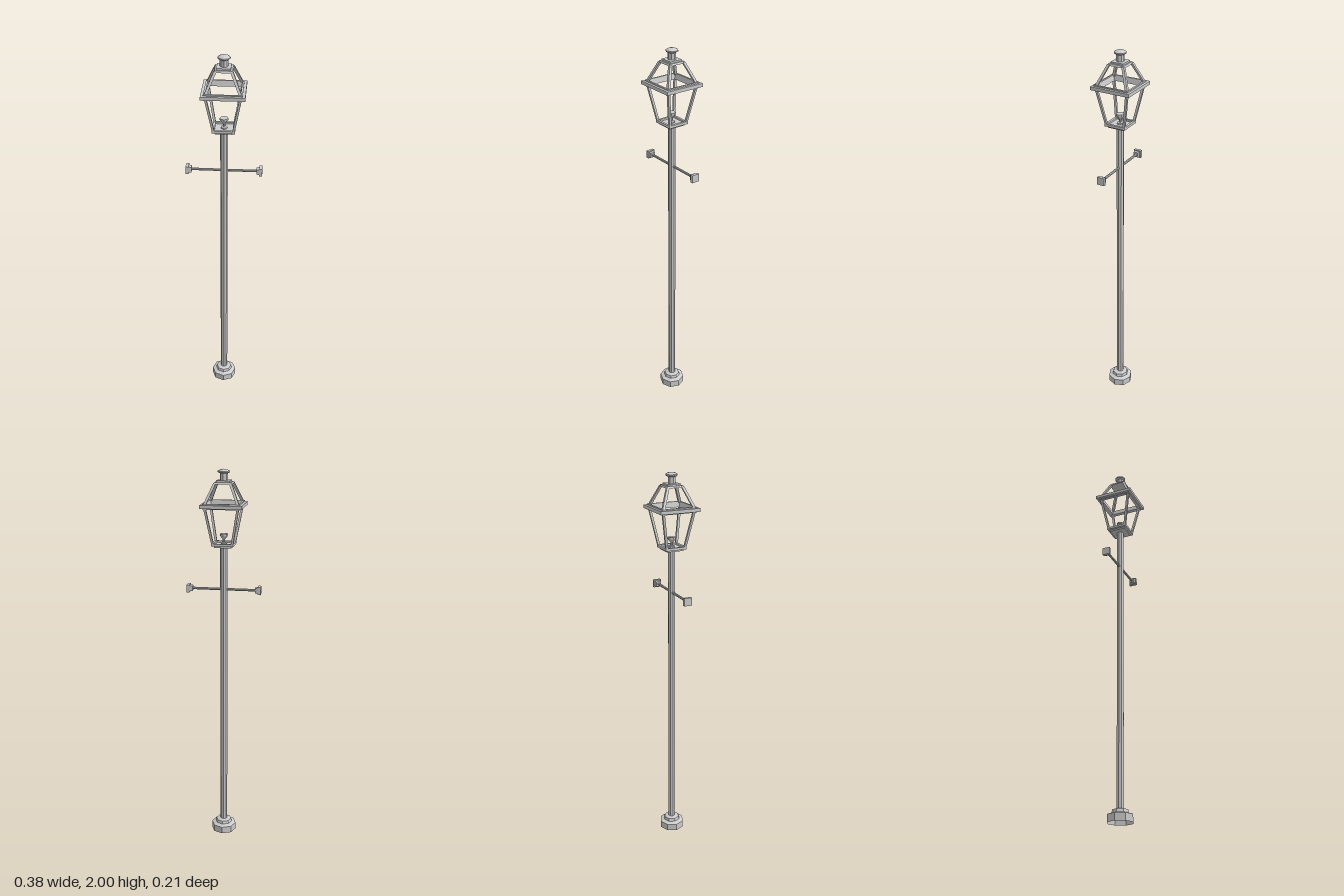
import * as THREE from 'three';

const material = new THREE.MeshStandardMaterial({ color: 0xcccccc, flatShading: true, side: THREE.DoubleSide });

export function createModel() {
  const model = new THREE.Group();

  const add = (name, geometry, parent = model) => {
    const mesh = new THREE.Mesh(geometry, material);
    mesh.name = name;
    parent.add(mesh);
    return mesh;
  };
  // Eight-sided turned part from [radius, height] pairs, bottom to top
  const turned = (points) =>
    new THREE.LatheGeometry(points.map(([r, y]) => new THREE.Vector2(r, y)), 8);
  // Square part from [half width, height] pairs
  const square = (points) =>
    new THREE.LatheGeometry(points.map(([w, y]) => new THREE.Vector2(w * Math.SQRT2, y)), 4, Math.PI / 4);
  // Axis-aligned square bar leaning from (a, y0) to (b, y1) on the corner diagonal
  const leaningBar = (a, y0, b, y1, sx, sz, width) => {
    const g = new THREE.BoxGeometry(width, y1 - y0, width);
    const p = g.attributes.position;
    for (let i = 0; i < p.count; i++) {
      const d = p.getY(i) > 0 ? b : a;
      p.setXYZ(i, p.getX(i) + sx * d, p.getY(i) + (y0 + y1) / 2, p.getZ(i) + sz * d);
    }
    return g;
  };

  // Stepped foot, open underneath, and the long post
  add('base', turned([[0.067, 0], [0.067, 0.038], [0.045, 0.046], [0.041, 0.062], [0.019, 0.067]]));
  add('pole', turned([[0.019, 0.02], [0.019, 1.625]]));

  // Ladder bar with a flared square knob at each end
  const crossbar = new THREE.Group();
  crossbar.name = 'crossbar';
  model.add(crossbar);
  const rod = add('crossbarRod', new THREE.CylinderGeometry(0.0065, 0.0065, 0.34, 8), crossbar);
  rod.rotation.z = Math.PI / 2;
  for (const side of [-1, 1]) {
    const knob = add('crossbarKnob',
      square([[0, 0.163], [0.013, 0.163], [0.015, 0.177], [0.02, 0.177], [0.02, 0.192], [0, 0.192]]), crossbar);
    knob.rotation.z = -side * Math.PI / 2;
  }
  crossbar.position.y = 1.398;

  // Lantern: floor tray, burner, corner bars, rim and cap
  const lantern = new THREE.Group();
  lantern.name = 'lantern';
  model.add(lantern);
  add('lanternFloor',
    square([[0, 1.617], [0.044, 1.617], [0.044, 1.626], [0.056, 1.626], [0.056, 1.639], [0.044, 1.639], [0.044, 1.63], [0, 1.63]]), lantern);
  add('burner',
    turned([[0.016, 1.63], [0.016, 1.637], [0.006, 1.64], [0.006, 1.655], [0.021, 1.673], [0.021, 1.683], [0, 1.683]]), lantern);
  for (const sx of [-1, 1]) for (const sz of [-1, 1]) {
    add('lowerCornerBar', leaningBar(0.049, 1.635, 0.083, 1.82, sx, sz, 0.012), lantern);
    add('roofCornerBar', leaningBar(0.083, 1.833, 0.039, 1.934, sx, sz, 0.014), lantern);
  }
  add('lanternRim',
    square([[0.077, 1.812], [0.092, 1.812], [0.092, 1.817], [0.105, 1.817], [0.105, 1.834],
      [0.092, 1.834], [0.092, 1.84], [0.083, 1.84], [0.077, 1.812]]), lantern);
  add('roofCap',
    square([[0, 1.929], [0.046, 1.929], [0.042, 1.938], [0.034, 1.938], [0.034, 1.946], [0, 1.946]]), lantern);
  add('chimney',
    turned([[0.02, 1.944], [0.02, 1.978], [0.031, 1.984], [0.031, 1.99], [0.018, 1.997], [0, 2]]), lantern);

  return model;
}
